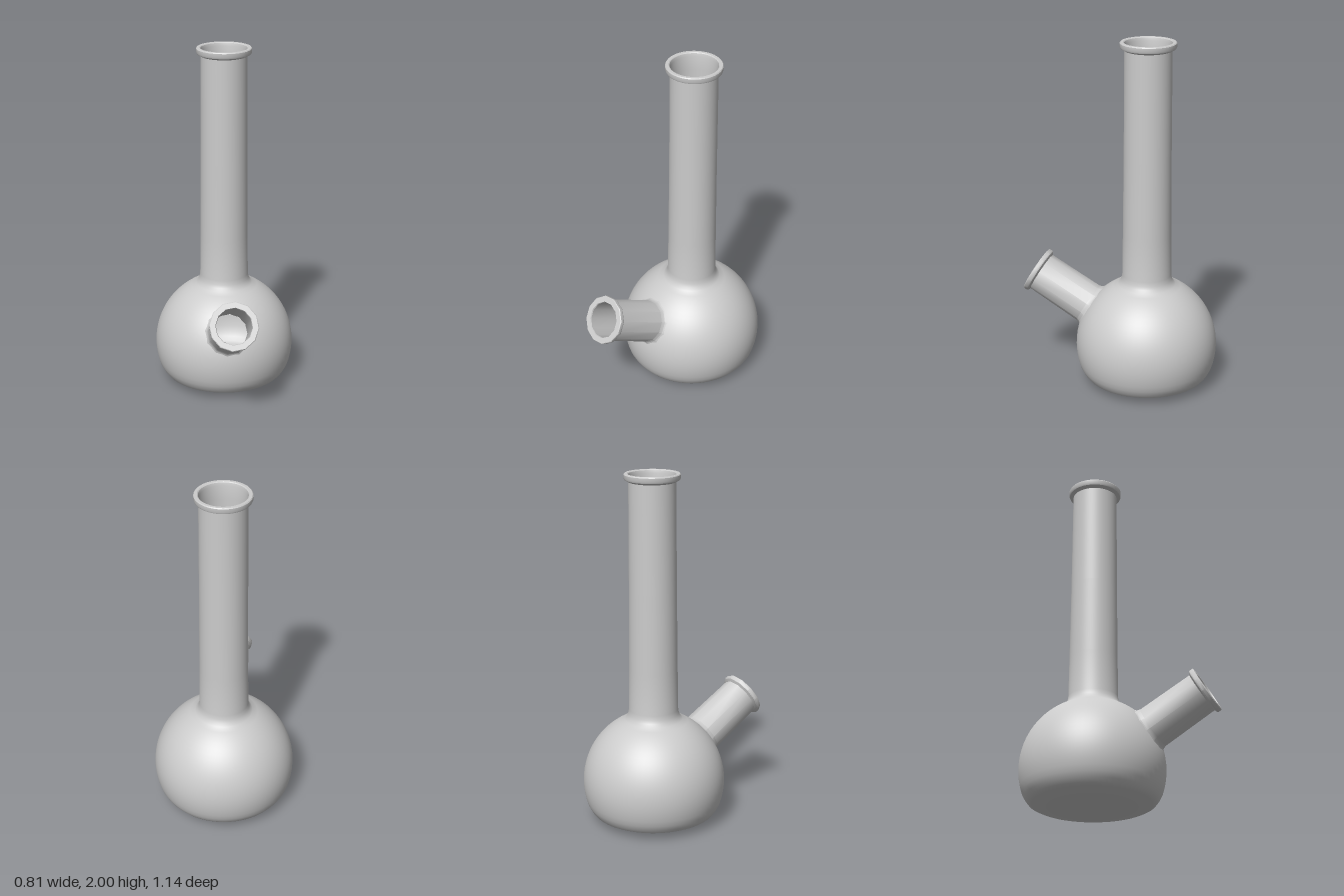
import * as THREE from 'three';
import { toCreasedNormals } from 'three/addons/utils/BufferGeometryUtils.js';

const material = new THREE.MeshStandardMaterial({ color: 0xcccccc, side: THREE.DoubleSide });
const BULB_R = 0.405, BULB_Y = 0.23, AXIS_Z = -0.165, HOLE_R = 0.105;
const UP = new THREE.Vector3(0, 1, 0);
const spoutDir = new THREE.Vector3(0.088, 0.5, 0.865).normalize();

// Surface of revolution; the seam sits at the back
function lathe(points, sides) {
  return new THREE.LatheGeometry(points.map(([r, y]) => new THREE.Vector2(r, y)), sides, Math.PI);
}

function part(name, geometry, crease) {
  const mesh = new THREE.Mesh(toCreasedNormals(geometry, crease), material);
  mesh.name = name;
  return mesh;
}

// Open a round hole in the bulb: pull inner vertices onto its edge, drop the faces between them
function cutSpoutHole(geometry) {
  const centre = new THREE.Vector3(0, BULB_Y, 0);
  const limit = Math.asin(HOLE_R / BULB_R);
  const pos = geometry.attributes.position;
  const inside = [];
  const p = new THREE.Vector3();
  for (let i = 0; i < pos.count; i++) {
    p.fromBufferAttribute(pos, i).sub(centre);
    inside[i] = p.angleTo(spoutDir) < limit;
    if (!inside[i]) continue;
    const side = p.addScaledVector(spoutDir, -p.dot(spoutDir)).normalize();
    side.multiplyScalar(Math.sin(limit) * BULB_R)
      .addScaledVector(spoutDir, Math.cos(limit) * BULB_R).add(centre);
    pos.setXYZ(i, side.x, side.y, side.z);
  }
  const kept = [];
  const index = geometry.index.array;
  for (let i = 0; i < index.length; i += 3) {
    const tri = [index[i], index[i + 1], index[i + 2]];
    if (!tri.every((v) => inside[v])) kept.push(...tri);
  }
  geometry.setIndex(kept);
  return geometry;
}

export function createModel() {
  const model = new THREE.Group();
  model.name = 'vessel';

  // Bulb with a gently domed base, flowing into the long neck
  const profile = [[0, 0], [0.1, 0.004], [0.2, 0.015], [0.28, 0.027], [0.33, 0.037], [0.35, 0.047], [0.368, 0.07]];
  const steps = 18, low = Math.asin(-0.13 / BULB_R), high = Math.asin(0.37 / BULB_R);
  for (let i = 0; i <= steps; i++) {
    const a = low + (high - low) * i / steps;
    profile.push([BULB_R * Math.cos(a), BULB_Y + BULB_R * Math.sin(a)]);
  }
  profile.push([0.151, 0.617], [0.144, 0.635], [0.14, 0.66], [0.137, 0.9], [0.133, 1.35], [0.13, 1.96]);
  const body = part('bulbAndNeck', cutSpoutHole(lathe(profile, 72)), 0.6);

  // Rolled lip and the inner wall of the neck
  const lip = part('neckLipAndBore', lathe([
    [0.13, 1.955], [0.151, 1.966], [0.155, 1.975], [0.155, 1.995], [0.151, 2.0],
    [0.136, 2.0], [0.131, 1.996], [0.127, 1.98], [0.127, 1.9], [0.133, 0.9], [0.135, 0.65],
  ], 40), 0.6);

  // Twelve-sided spout, radial to the bulb, with flared root, lip and bore
  const spout = new THREE.Group();
  spout.name = 'spout';
  spout.quaternion.setFromUnitVectors(UP, spoutDir);
  spout.position.y = BULB_Y;
  spout.add(
    part('spoutTube', lathe([[0.142, 0.376], [0.128, 0.389], [0.121, 0.408], [0.117, 0.745]], 12), 0.6),
    part('spoutLip', lathe([
      [0.116, 0.735], [0.134, 0.744], [0.137, 0.75], [0.137, 0.768], [0.133, 0.772], [0.103, 0.772], [0.1, 0.765],
    ], 12), 0.6),
    part('spoutBore', lathe([[0.1, 0.766], [0.106, 0.385]], 12), 0.6),
  );

  model.add(body, lip, spout);
  for (const child of model.children) child.position.z = AXIS_Z;
  return model;
}
